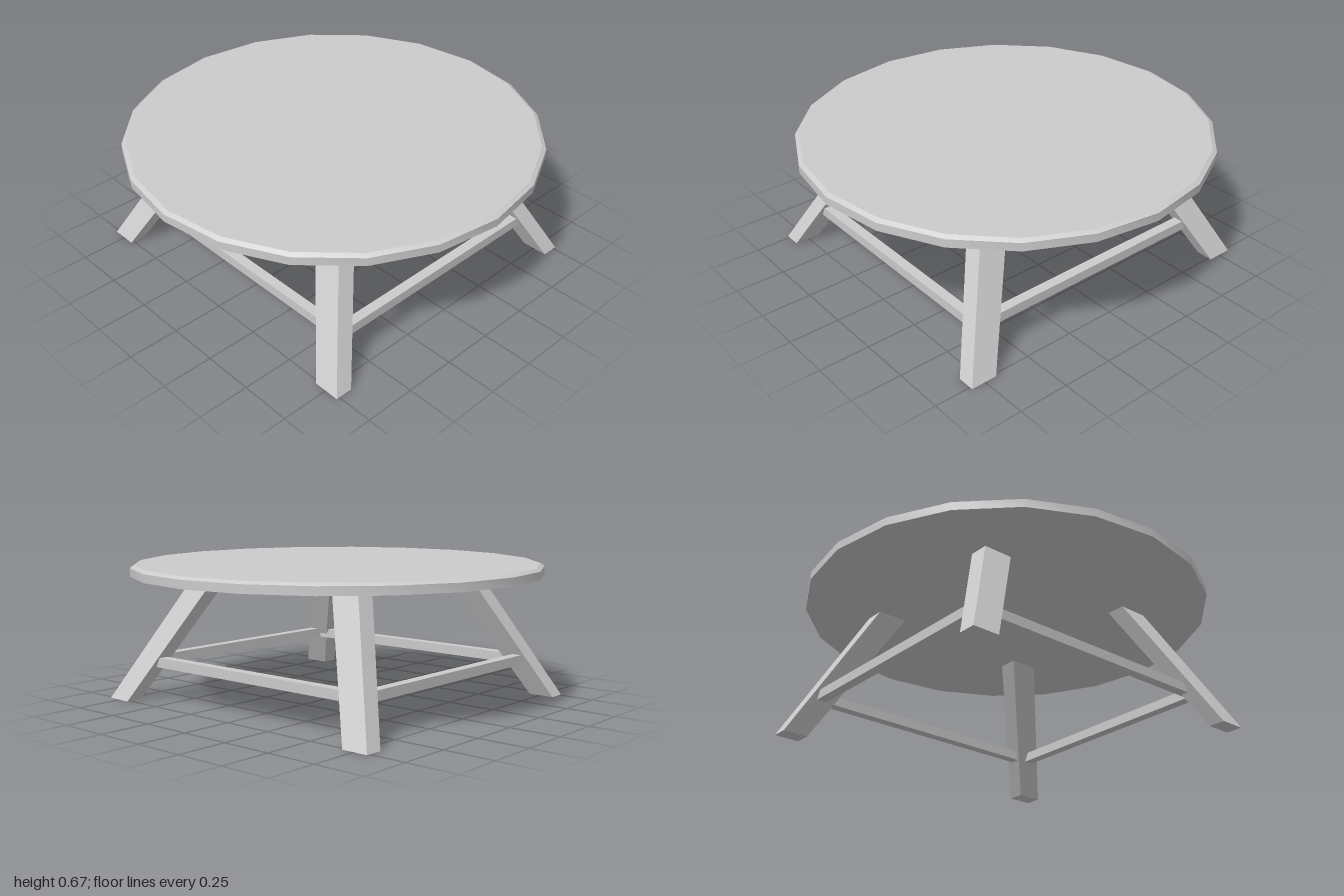
import * as THREE from 'three';
import { toCreasedNormals } from 'three/addons/utils/BufferGeometryUtils.js';

const material = new THREE.MeshStandardMaterial({ color: 0xcccccc });
const TOP_Y = 0.62;

function addMesh(group, name, geometry) {
  const mesh = new THREE.Mesh(geometry, material);
  mesh.name = name;
  group.add(mesh);
}

// Box given by its minimum and maximum corners
function boxBetween(x0, x1, y0, y1, z0, z1) {
  return new THREE.BoxGeometry(x1 - x0, y1 - y0, z1 - z0)
    .translate((x0 + x1) / 2, (y0 + y1) / 2, (z0 + z1) / 2);
}

// Splayed leg: a box whose foot and head rectangles are placed separately
function legGeometry(sx, sz) {
  const foot = { x: [0.69, 0.82], z: [0.68, 0.765] };
  const head = { x: [0.365, 0.515], z: [0.365, 0.46] };
  const geometry = new THREE.BoxGeometry(1, 1, 1);
  const p = geometry.attributes.position;
  for (let i = 0; i < p.count; i++) {
    const end = p.getY(i) < 0 ? foot : head;
    const x = end.x[p.getX(i) * sx > 0 ? 1 : 0] * sx;
    const z = end.z[p.getZ(i) * sz > 0 ? 1 : 0] * sz;
    p.setXYZ(i, x, p.getY(i) < 0 ? 0 : TOP_Y, z);
  }
  // flat faces with correct slanted normals
  const flat = geometry.toNonIndexed();
  flat.computeVertexNormals();
  return flat;
}

export function createModel() {
  const table = new THREE.Group();
  table.name = 'roundTable';

  // Twenty-sided top with a small bevel on the upper rim
  const profile = [[0, TOP_Y], [1, TOP_Y], [1, 0.66], [0.98, 0.672], [0, 0.672]]
    .map(([r, y]) => new THREE.Vector2(r, y));
  addMesh(table, 'tableTop', toCreasedNormals(new THREE.LatheGeometry(profile, 20), Math.PI / 7));

  // Four legs
  for (const [sx, sideName] of [[1, 'Left'], [-1, 'Right']]) {
    for (const [sz, endName] of [[1, 'front'], [-1, 'back']]) {
      addMesh(table, `${endName}${sideName}Leg`, legGeometry(sx, sz));
    }
  }

  // Stretchers joining neighbouring legs
  const y0 = 0.165, y1 = 0.212;
  addMesh(table, 'frontStretcher', boxBetween(-0.64, 0.64, y0, y1, 0.585, 0.635));
  addMesh(table, 'backStretcher', boxBetween(-0.65, 0.65, y0, y1, -0.65, -0.6));
  addMesh(table, 'leftStretcher', boxBetween(0.65, 0.7, y0, y1, -0.62, 0.62));
  addMesh(table, 'rightStretcher', boxBetween(-0.7, -0.65, y0, y1, -0.62, 0.62));

  return table;
}
